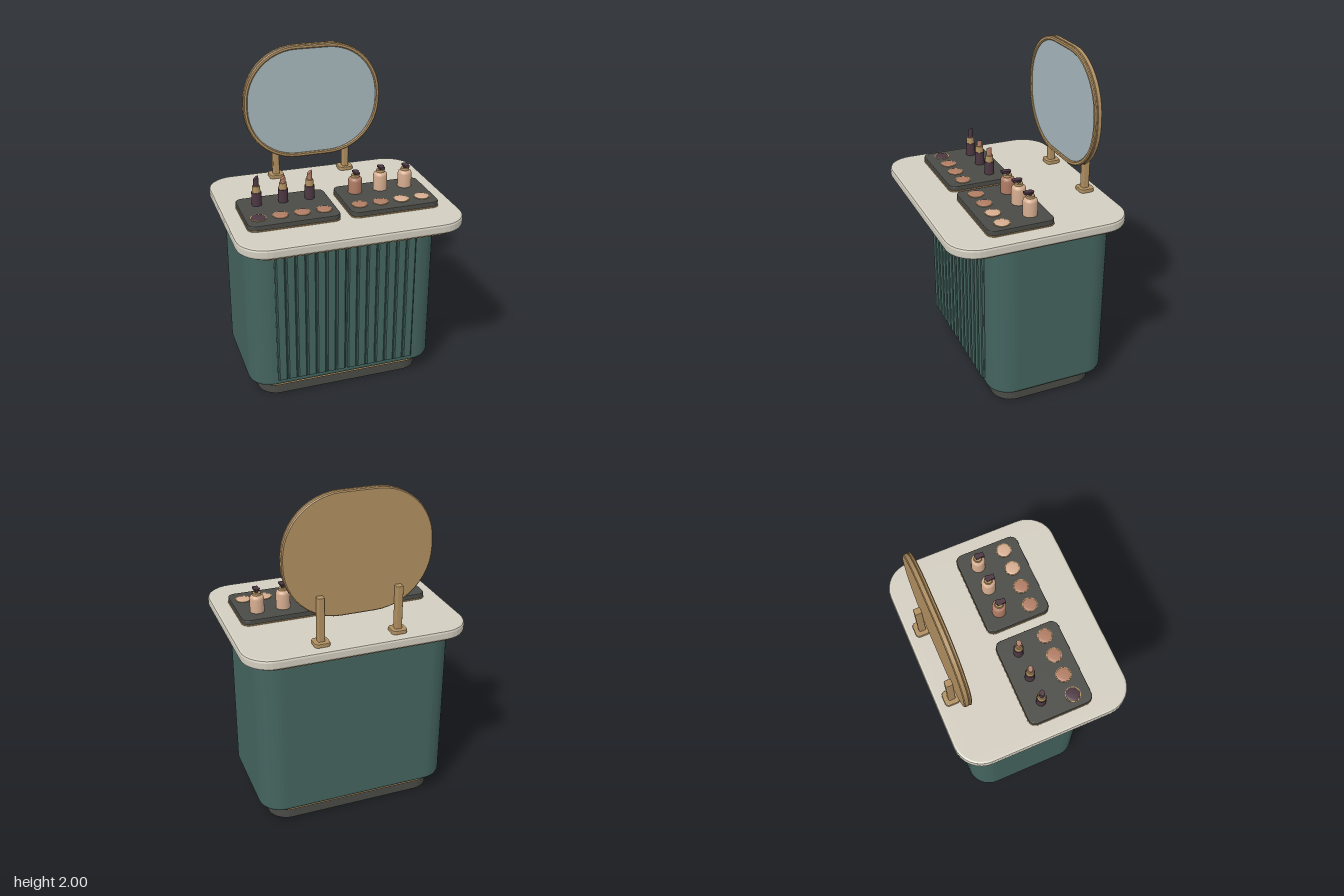
import * as THREE from 'three';

const mat = (name, color, side = THREE.FrontSide) => {
  const m = new THREE.MeshStandardMaterial({ color, side });
  m.name = name;
  return m;
};

// Rounded rectangle outline, centred on the origin
function roundedRect(w, h, r, Type = THREE.Shape) {
  const s = new Type(), x = w / 2 - r, y = h / 2 - r, q = Math.PI / 2;
  s.moveTo(x + r, -y);
  s.lineTo(x + r, y);
  s.absarc(x, y, r, 0, q);
  s.lineTo(-x, y + r);
  s.absarc(-x, y, r, q, 2 * q);
  s.lineTo(-x - r, -y);
  s.absarc(-x, -y, r, 2 * q, 3 * q);
  s.lineTo(x, -y - r);
  s.absarc(x, -y, r, 3 * q, 4 * q);
  return s;
}

// Rounded plate lying flat, from y = 0 to y = h
function slab(w, d, h, r, bevel = 0, segs = 4) {
  const g = new THREE.ExtrudeGeometry(roundedRect(w - 2 * bevel, d - 2 * bevel, r - bevel), {
    depth: h - 2 * bevel, bevelEnabled: bevel > 0, bevelSize: bevel,
    bevelThickness: bevel, bevelSegments: 2, curveSegments: segs,
  });
  g.translate(0, 0, bevel);
  g.rotateX(-Math.PI / 2);
  return g;
}

export function createModel() {
  const root = new THREE.Group();
  root.name = 'vanityTable';
  const teal = mat('teal lacquer', 0x44645f), stone = mat('cream stone', 0xd2cdbf);
  const gold = mat('brushed gold', 0xb08f60), dark = mat('charcoal', 0x4a4a46);
  const glass = mat('mirror glass', 0xa6b8bd), plum = mat('plum', 0x4c3742);
  const rose = mat('rose', 0xb07c64), skin = mat('beige', 0xd6ad90);

  const add = (name, geo, m, x = 0, y = 0, z = 0, parent = root) => {
    const mesh = new THREE.Mesh(geo, m);
    mesh.name = name;
    mesh.position.set(x, y, z);
    parent.add(mesh);
    return mesh;
  };
  const group = (name, x, y, z) => {
    const g = new THREE.Group();
    g.name = name;
    g.position.set(x, y, z);
    root.add(g);
    return g;
  };

  // Cabinet
  const cz = -0.085;
  add('plinth', slab(1.04, 0.63, 0.08, 0.12), dark, 0, 0, cz);
  add('plinthTrim', slab(1.1, 0.68, 0.035, 0.14, 0.008), gold, 0, 0.073, cz);
  add('cabinetBody', slab(1.17, 0.74, 0.99, 0.14, 0.02, 5), teal, 0, 0.1, cz);
  add('counterTrim', slab(1.28, 1.015, 0.025, 0.16, 0.006), gold, 0, 1.085, 0);
  add('counterTop', slab(1.33, 1.065, 0.06, 0.17, 0.014), stone, 0, 1.1, 0);

  // Fluted doors
  const flute = new THREE.Shape([[-0.03, 0], [0.03, 0], [0.028, 0.007], [0.021, 0.012],
    [-0.021, 0.012], [-0.028, 0.007]].map(p => new THREE.Vector2(...p)));
  const fluteGeo = new THREE.ExtrudeGeometry(flute, { depth: 0.88, bevelEnabled: false });
  fluteGeo.rotateX(-Math.PI / 2);
  fluteGeo.rotateY(Math.PI);
  for (const s of [-1, 1]) {
    add('door', new THREE.BoxGeometry(0.43, 0.88, 0.02), teal, s * 0.218, 0.585, 0.28);
    for (let i = 0; i < 7; i++) {
      add('doorFlute', fluteGeo, teal, s * (0.035 + i * 0.061), 0.145, 0.29);
    }
    const grip = new THREE.Shape([[-0.058, 0], [0.058, 0], [0.07, 0.02], [-0.07, 0.02]]
      .map(p => new THREE.Vector2(...p)));
    add('doorHandle', new THREE.ExtrudeGeometry(grip, { depth: 0.03, bevelEnabled: false }),
      gold, s * 0.157, 0.985, 0.29);
  }

  // Mirror with solid back, raised rim and two posts
  const mirror = group('mirror', 0, 1.65, -0.415);
  const back = new THREE.ExtrudeGeometry(roundedRect(0.848, 0.688, 0.324), {
    depth: 0.02, bevelSize: 0.006, bevelThickness: 0.005, bevelSegments: 1, curveSegments: 6,
  });
  add('mirrorBack', back, gold, 0, 0, 0.005, mirror);
  const rim = roundedRect(0.848, 0.688, 0.324);
  rim.holes.push(roundedRect(0.822, 0.662, 0.311, THREE.Path));
  add('mirrorRim', new THREE.ExtrudeGeometry(rim, {
    depth: 0.008, bevelSize: 0.006, bevelThickness: 0.005, bevelSegments: 1, curveSegments: 6,
  }), gold, 0, 0, 0.032, mirror);
  add('mirrorGlass', new THREE.ExtrudeGeometry(roundedRect(0.824, 0.664, 0.312),
    { depth: 0.008, bevelEnabled: false, curveSegments: 6 }), glass, 0, 0, 0.028, mirror);
  for (const s of [-1, 1]) {
    add('mirrorFoot', slab(0.092, 0.09, 0.024, 0.024, 0.005), gold, s * 0.228, 1.16, -0.437);
    add('mirrorPost', slab(0.04, 0.042, 0.26, 0.008, 0.003, 2), gold, s * 0.228, 1.18, -0.435);
  }

  // Trays with round powder pans
  const panColours = [[plum, rose, rose, rose], [rose, rose, skin, skin]];
  [-0.302, 0.298].forEach((tx, t) => {
    const tray = group('tray', tx, 1.16, 0.107);
    add('trayTrim', slab(0.54, 0.398, 0.006, 0.047), gold, 0, 0, 0, tray);
    add('trayBody', slab(0.536, 0.394, 0.03, 0.045, 0.005), dark, 0, 0.005, 0, tray);
    panColours[t].forEach((m, i) => {
      const px = (i - 1.5) * 0.1285, pz = 0.095;
      add('panRing', new THREE.CylinderGeometry(0.046, 0.046, 0.004, 24), gold, px, 0.036, pz, tray);
      const dome = new THREE.LatheGeometry([[0.041, 0], [0.038, 0.003], [0.025, 0.005], [0, 0.006]]
        .map(p => new THREE.Vector2(...p)), 24);
      add('powder', dome, m, px, 0.038, pz, tray);
    });
  });

  // Lipsticks with slanted tips
  const lipsticks = [[-0.46, plum, 0.18], [-0.302, rose, 0.16], [-0.142, rose, 0.175]];
  for (const [x, m, h] of lipsticks) {
    const stick = group('lipstick', x, 1.193, 0.02);
    add('lipstickBase', new THREE.CylinderGeometry(0.029, 0.029, 0.082, 20), plum, 0, 0.041, 0, stick);
    add('lipstickCollar', new THREE.CylinderGeometry(0.022, 0.025, 0.04, 20), gold, 0, 0.1, 0, stick);
    const tipHeight = h - 0.11;
    const tip = new THREE.CylinderGeometry(0.015, 0.016, tipHeight, 16);
    const p = tip.attributes.position;
    for (let i = 0; i < p.count; i++) {
      if (p.getY(i) > 0) p.setY(i, tipHeight / 2 - 0.011 + p.getX(i) * 0.75);
    }
    tip.computeVertexNormals();
    add('lipstickTip', tip, m, 0, 0.11 + tipHeight / 2, 0, stick);
  }

  // Pump bottles
  const bottles = [[0.14, rose, 0.1], [0.298, skin, 0.113], [0.455, skin, 0.106]];
  for (const [x, m, h] of bottles) {
    const bottle = group('bottle', x, 1.193, 0.02);
    const profile = [[0, 0], [0.04, 0], [0.042, 0.004], [0.042, h - 0.022], [0.038, h - 0.009],
      [0.026, h], [0, h]].map(q => new THREE.Vector2(...q));
    add('bottleBody', new THREE.LatheGeometry(profile, 24), m, 0, 0, 0, bottle);
    add('bottleCollar', new THREE.CylinderGeometry(0.024, 0.026, 0.014, 20), gold, 0, h + 0.006, 0, bottle);
    add('pumpStem', new THREE.CylinderGeometry(0.01, 0.01, 0.018, 12), plum, 0, h + 0.018, 0, bottle);
    add('pumpHead', new THREE.CylinderGeometry(0.021, 0.015, 0.012, 16), plum, 0, h + 0.03, 0, bottle);
    add('pumpNozzle', new THREE.BoxGeometry(0.03, 0.012, 0.052), plum, 0, h + 0.031, 0.012, bottle);
  }
  return root;
}
